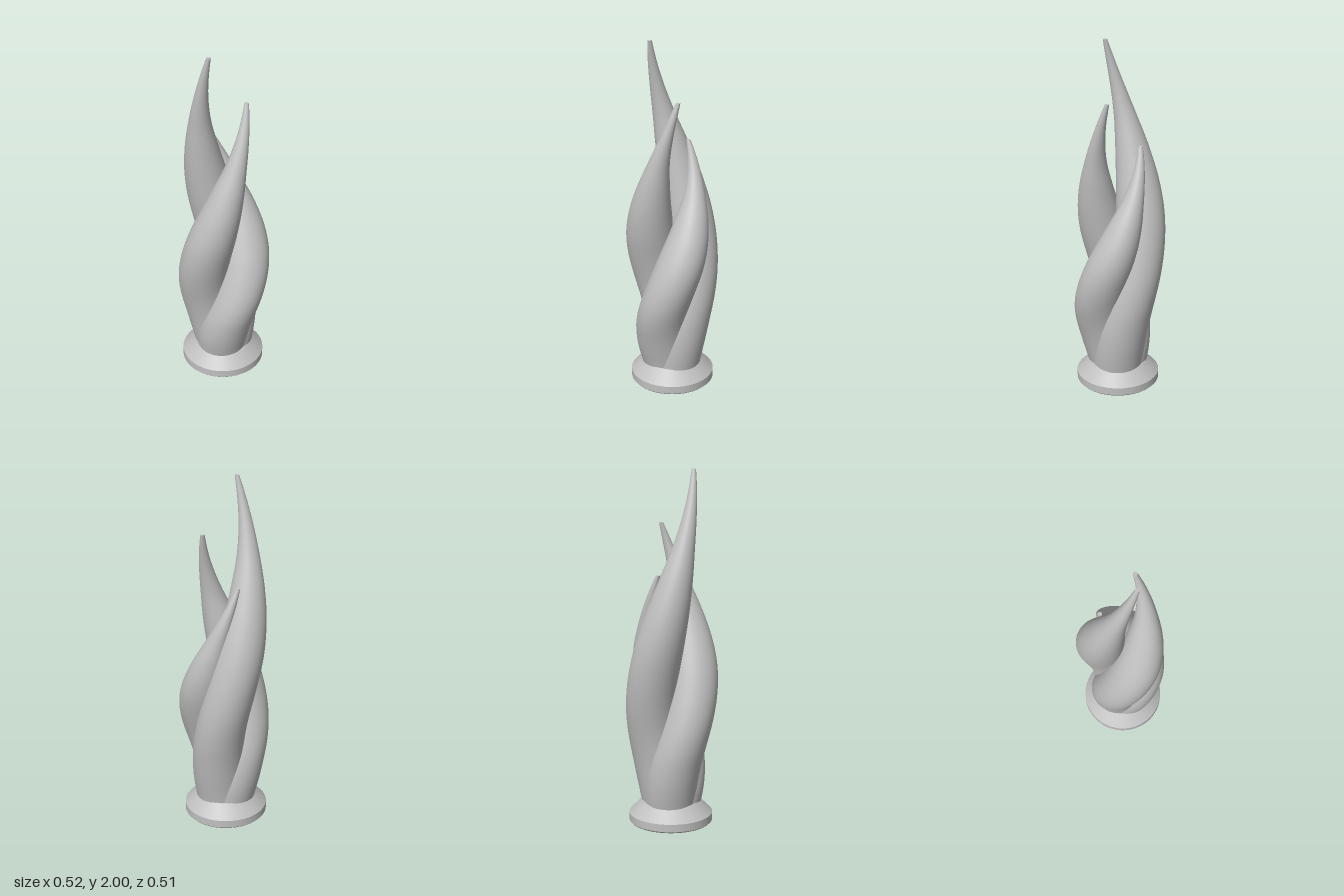
import * as THREE from 'three';
import { toCreasedNormals } from 'three/addons/utils/BufferGeometryUtils.js';

const BASE_Y = 0.1;
const { degToRad } = THREE.MathUtils;

// Blade profile: x = fraction of height, y = offset from the axis, z = section radius
const profile = new THREE.CatmullRomCurve3([
  [0, 0.03, 0.142], [0.08, 0.053, 0.147], [0.16, 0.077, 0.147], [0.23, 0.1, 0.144],
  [0.31, 0.118, 0.142], [0.41, 0.126, 0.141], [0.5, 0.126, 0.136], [0.59, 0.124, 0.12],
  [0.69, 0.122, 0.092], [0.78, 0.123, 0.062], [0.88, 0.124, 0.036], [1, 0.124, 0.012],
].map((p) => new THREE.Vector3(...p)));

// Circular sections stacked upwards while they wind around the axis
function bladeGeometry(topY, tipAngle, rings = 110, sides = 64) {
  const pos = [], index = [];
  for (let i = 0; i <= rings; i++) {
    const p = profile.getPoint(i / rings);
    const down = 1 - p.x;
    const angle = tipAngle + degToRad(242 * down - 25 * down * down);
    const y = BASE_Y + (topY - BASE_Y) * p.x;
    for (let j = 0; j < sides; j++) {
      const a = (j / sides) * Math.PI * 2;
      pos.push(p.y * Math.cos(angle) + p.z * Math.cos(a), y, p.y * Math.sin(angle) + p.z * Math.sin(a));
      if (i < rings) {
        const k = i * sides + j, n = i * sides + (j + 1) % sides;
        index.push(k, k + sides, n, n, k + sides, n + sides);
      }
    }
  }
  const g = new THREE.BufferGeometry();
  g.setAttribute('position', new THREE.Float32BufferAttribute(pos, 3));
  g.setIndex(index);
  g.computeVertexNormals();
  return g;
}

export function createModel() {
  const model = new THREE.Group();
  model.name = 'flameSculpture';
  const grey = new THREE.MeshStandardMaterial({ color: 0xc0c0c0 });
  grey.name = 'grey';

  const add = (parent, geometry, name) => {
    const mesh = new THREE.Mesh(geometry, grey);
    mesh.name = name;
    parent.add(mesh);
    return mesh;
  };

  // Three twisted blades of different heights, a third of a turn apart
  [['tallBlade', 2, 140], ['middleBlade', 1.7, 20], ['shortBlade', 1.43, -100]].forEach(([name, topY, degrees]) => {
    const blade = new THREE.Group();
    blade.name = name;
    const angle = degToRad(degrees);
    add(blade, bladeGeometry(topY, angle), name + 'Body');
    const tip = add(blade, new THREE.CircleGeometry(0.012, 32).rotateX(-Math.PI / 2), name + 'Tip');
    tip.position.set(0.124 * Math.cos(angle), topY, 0.124 * Math.sin(angle));
    model.add(blade);
  });

  // Bevelled foot with a blind socket underneath
  const foot = [
    [0, 0.4], [0.12, 0.4], [0.12, 0], [0.23, 0], [0.238, 0.008],
    [0.238, 0.052], [0.165, 0.125], [0.12, 0.125],
  ].map((p) => new THREE.Vector2(...p));
  add(model, toCreasedNormals(new THREE.LatheGeometry(foot, 96), 0.4), 'foot');

  // Shift so the overall bounds are centred
  model.children.forEach((part) => part.position.set(0.002, 0, 0.012));
  return model;
}
